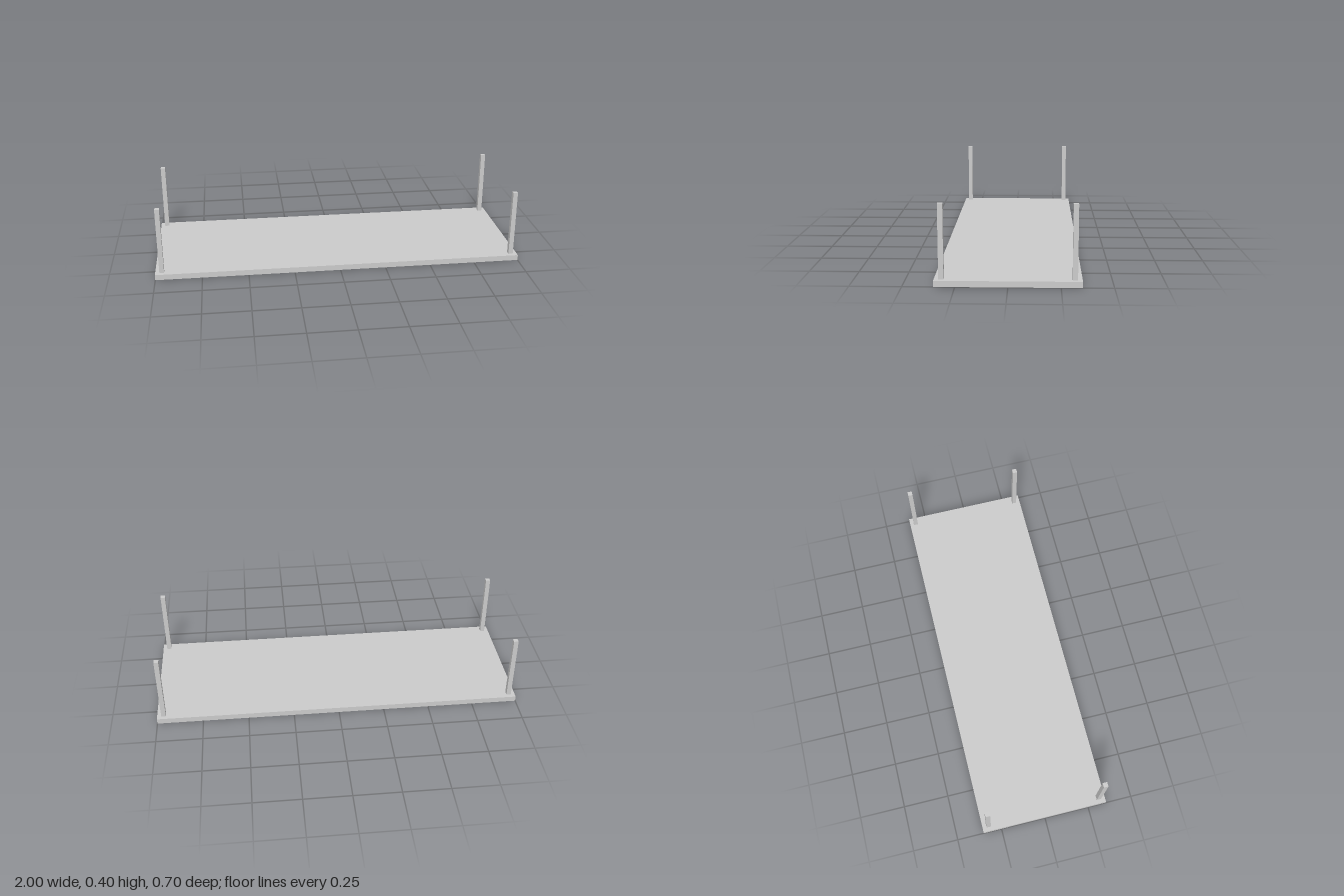
import * as THREE from 'three';

const TOP = { width: 2, thickness: 0.03, depth: 0.704 };
const LEG = { side: 0.025, height: 0.366, inset: 0.0225 };

export function createModel() {
  const model = new THREE.Group();
  model.name = 'upturnedTable';
  const material = new THREE.MeshStandardMaterial({ color: 0xcccccc, flatShading: true });

  // Flat board lying on the ground
  const board = new THREE.Mesh(new THREE.BoxGeometry(TOP.width, TOP.thickness, TOP.depth), material);
  board.name = 'board';
  board.position.y = TOP.thickness / 2;
  model.add(board);

  // Four square posts, inset from the corners
  const legGeometry = new THREE.BoxGeometry(LEG.side, LEG.height, LEG.side);
  const x = TOP.width / 2 - LEG.inset - LEG.side / 2;
  const z = TOP.depth / 2 - LEG.inset - LEG.side / 2;
  for (const [sx, side] of [[1, 'Left'], [-1, 'Right']]) {
    for (const [sz, end] of [[1, 'front'], [-1, 'back']]) {
      const leg = new THREE.Mesh(legGeometry, material);
      leg.name = `${end}${side}Leg`;
      leg.position.set(sx * x, TOP.thickness + LEG.height / 2, sz * z);
      model.add(leg);
    }
  }
  return model;
}
